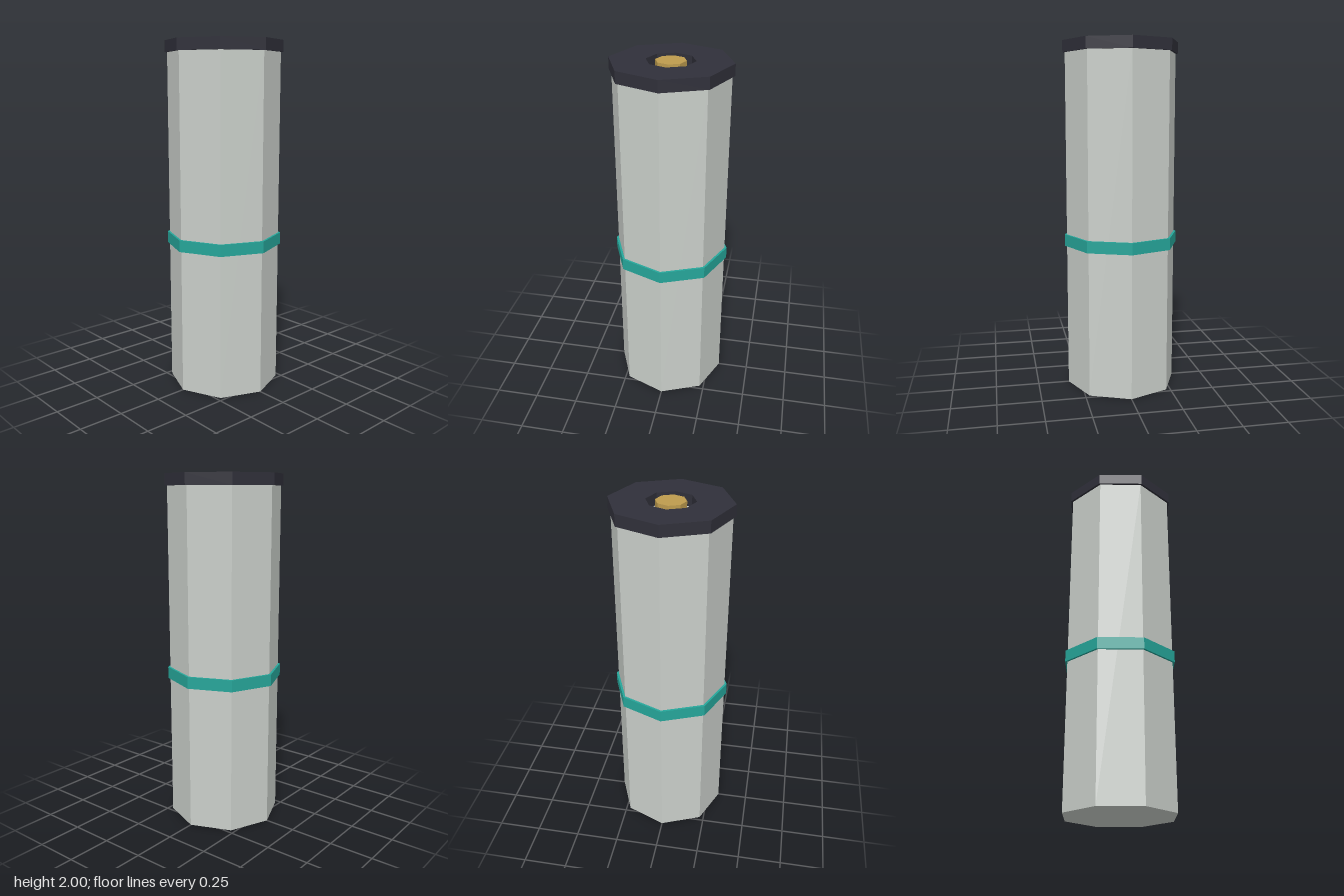
import * as THREE from 'three';

const SIDES = 8;

function flatMaterial(name, color) {
  const material = new THREE.MeshStandardMaterial({ color, flatShading: true });
  material.name = name;
  return material;
}

// Upright octagonal prism with corners on the x and z axes
function prism(radius, y0, y1) {
  return new THREE.CylinderGeometry(radius, radius, y1 - y0, SIDES).translate(0, (y0 + y1) / 2, 0);
}

// Octagonal ring with a rectangular section, closed on all four sides
function ring(inner, outer, y0, y1) {
  const section = [[inner, y0], [outer, y0], [outer, y1], [inner, y1], [inner, y0]];
  return new THREE.LatheGeometry(section.map(([r, y]) => new THREE.Vector2(r, y)), SIDES);
}

export function createModel() {
  const shell = flatMaterial('pale grey', 0xcacfca);
  const dark = flatMaterial('charcoal', 0x30303a);
  const teal = flatMaterial('teal', 0x26a69a);
  const brass = flatMaterial('brass', 0xbe9c4e);

  const model = new THREE.Group();
  model.name = 'cylinderCell';
  const add = (name, geometry, material) => {
    const mesh = new THREE.Mesh(geometry, material);
    mesh.name = name;
    model.add(mesh);
  };

  add('body', prism(0.32, 0, 1.935), shell);
  add('band', ring(0.315, 0.333, 0.835, 0.902), teal);
  // The open cap leaves the body's top visible around the contact
  add('capRing', ring(0.133, 0.333, 1.935, 2), dark);
  add('contact', prism(0.083, 1.935, 2), brass);
  return model;
}
